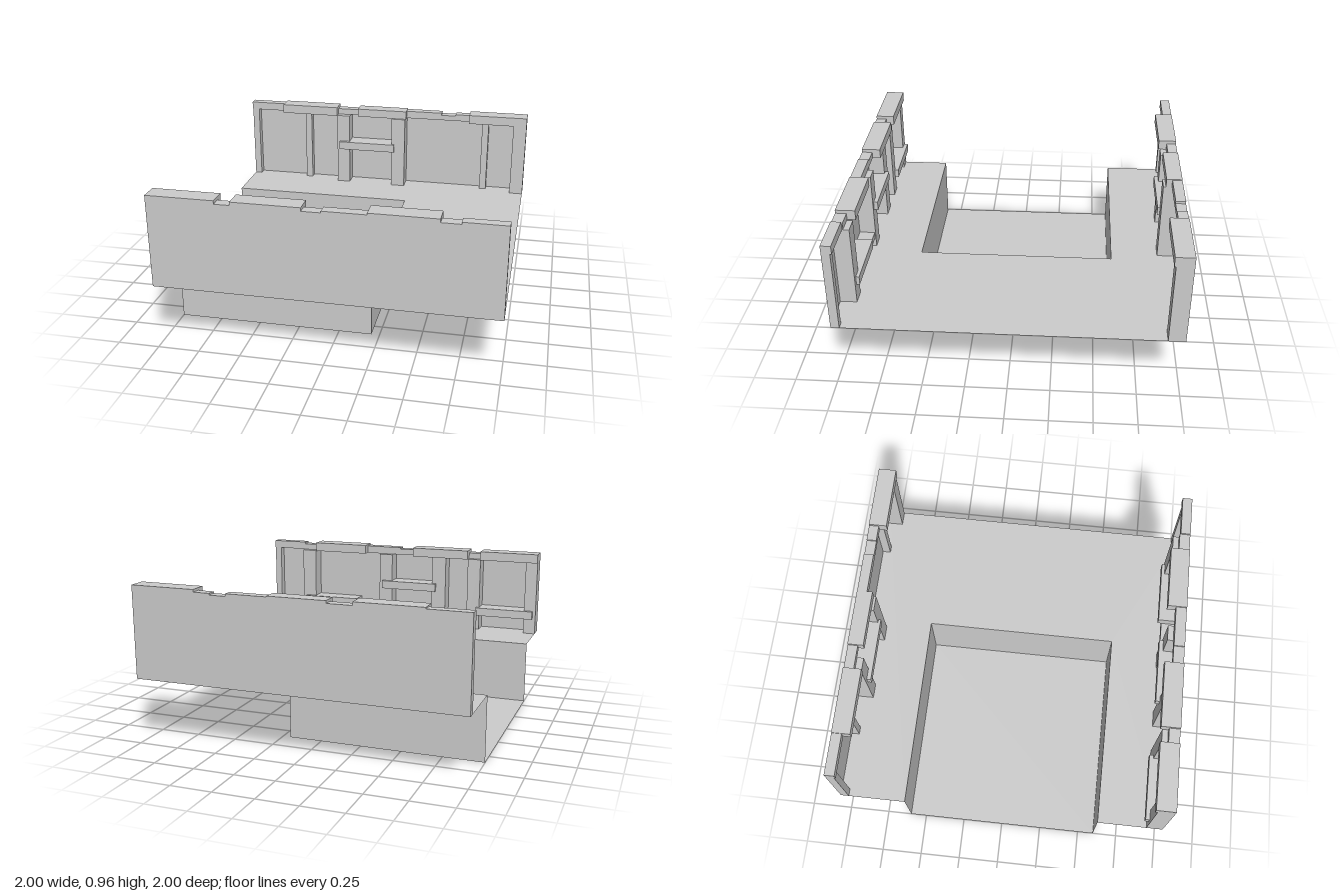
import * as THREE from 'three';

const FLOOR = 0.4;      // height of the upper floor
const CAP = 0.9;        // underside of the coping stones

export function createModel() {
  const model = new THREE.Group();
  model.name = 'sunkenChannelSection';
  const solid = new THREE.MeshStandardMaterial({ color: 0xcccccc, flatShading: true });
  const sheet = new THREE.MeshStandardMaterial({ color: 0xcccccc, flatShading: true, side: THREE.DoubleSide });

  const add = (parent, name, geometry, material) => {
    const mesh = new THREE.Mesh(geometry, material);
    mesh.name = name;
    parent.add(mesh);
    return mesh;
  };

  // Upper floor: a square with a notch open at the -x edge
  const outline = new THREE.Shape([
    [-1, -1], [1, -1], [1, 1], [-1, 1], [-1, 0.6], [0.2, 0.6], [0.2, -0.6], [-1, -0.6],
  ].map(([x, y]) => new THREE.Vector2(x, y)));
  add(model, 'upperFloor', new THREE.ShapeGeometry(outline).rotateX(-Math.PI / 2).translate(0, FLOOR, 0), sheet);

  // Sunken channel: bottom, two sides and the closed end
  const channel = new THREE.Group();
  channel.name = 'channel';
  model.add(channel);
  add(channel, 'channelBottom', new THREE.PlaneGeometry(1.2, 1.2).rotateX(-Math.PI / 2).translate(-0.4, 0, 0), sheet);
  for (const s of [-1, 1]) {
    const side = new THREE.PlaneGeometry(1.2, FLOOR);
    if (s > 0) side.rotateY(Math.PI);
    add(channel, 'channelSide', side.translate(-0.4, FLOOR / 2, s * 0.6), sheet);
  }
  add(channel, 'channelEnd', new THREE.PlaneGeometry(1.2, FLOOR).rotateY(-Math.PI / 2).translate(0.2, FLOOR / 2, 0), sheet);

  // A wall on side s (+1 front, -1 back); every block grows inward from z = s
  function wall(name, s, { pillars, beams, caps }) {
    const group = new THREE.Group();
    group.name = name;
    model.add(group);
    const block = (part, x0, x1, y0, y1, depth) =>
      add(group, part, new THREE.BoxGeometry(x1 - x0, y1 - y0, depth)
        .translate((x0 + x1) / 2, (y0 + y1) / 2, s * (1 - depth / 2)), solid);
    const panel = new THREE.PlaneGeometry(2, CAP - FLOOR);
    if (s < 0) panel.rotateY(Math.PI);
    add(group, 'wallPanel', panel.translate(0, (CAP + FLOOR) / 2, s), sheet);
    for (const [x0, x1, depth] of pillars) block('pillar', x0, x1, FLOOR, CAP, depth);
    for (const [x0, x1, y0, y1, depth] of beams) block('beam', x0, x1, y0, y1, depth);
    for (const [x0, x1, top, depth] of caps) block('copingStone', x0, x1, CAP, top, depth);
  }

  wall('frontWall', 1, {
    pillars: [[-1, -0.92, 0.1], [-0.6, -0.51, 0.1], [-0.35, -0.25, 0.1], [0.05, 0.145, 0.1], [0.65, 0.75, 0.1], [0.955, 1, 0.05]],
    beams: [
      [-0.98, -0.58, 0.505, 0.56, 0.125], [-0.28, 0.12, 0.655, 0.71, 0.125],
      [0.32, 0.72, 0.505, 0.56, 0.12], [0.06, 0.4, 0.46, 0.5, 0.095],
    ],
    caps: [
      [-1, -0.6, 0.96, 0.115], [-0.6, -0.51, 0.94, 0.065], [-0.51, -0.11, 0.96, 0.115], [-0.11, 0, 0.94, 0.065],
      [0, 0.25, 0.95, 0.065], [0.25, 0.64, 0.96, 0.115], [0.64, 0.75, 0.94, 0.065], [0.75, 1, 0.952, 0.06],
    ],
  });

  wall('backWall', -1, {
    pillars: [[-1, -0.955, 0.05], [-0.6, -0.555, 0.05], [-0.35, -0.26, 0.1], [0.05, 0.145, 0.11], [0.69, 0.735, 0.05], [0.91, 1, 0.1]],
    beams: [[-0.33, 0.07, 0.655, 0.71, 0.125]],
    caps: [
      [-1, -0.75, 0.952, 0.06], [-0.75, -0.35, 0.96, 0.11], [-0.35, -0.2, 0.94, 0.06], [-0.2, 0.15, 0.955, 0.095],
      [0.15, 0.4, 0.95, 0.06], [0.4, 0.5, 0.935, 0.06], [0.5, 0.6, 0.945, 0.06], [0.6, 1, 0.96, 0.11],
    ],
  });

  return model;
}
